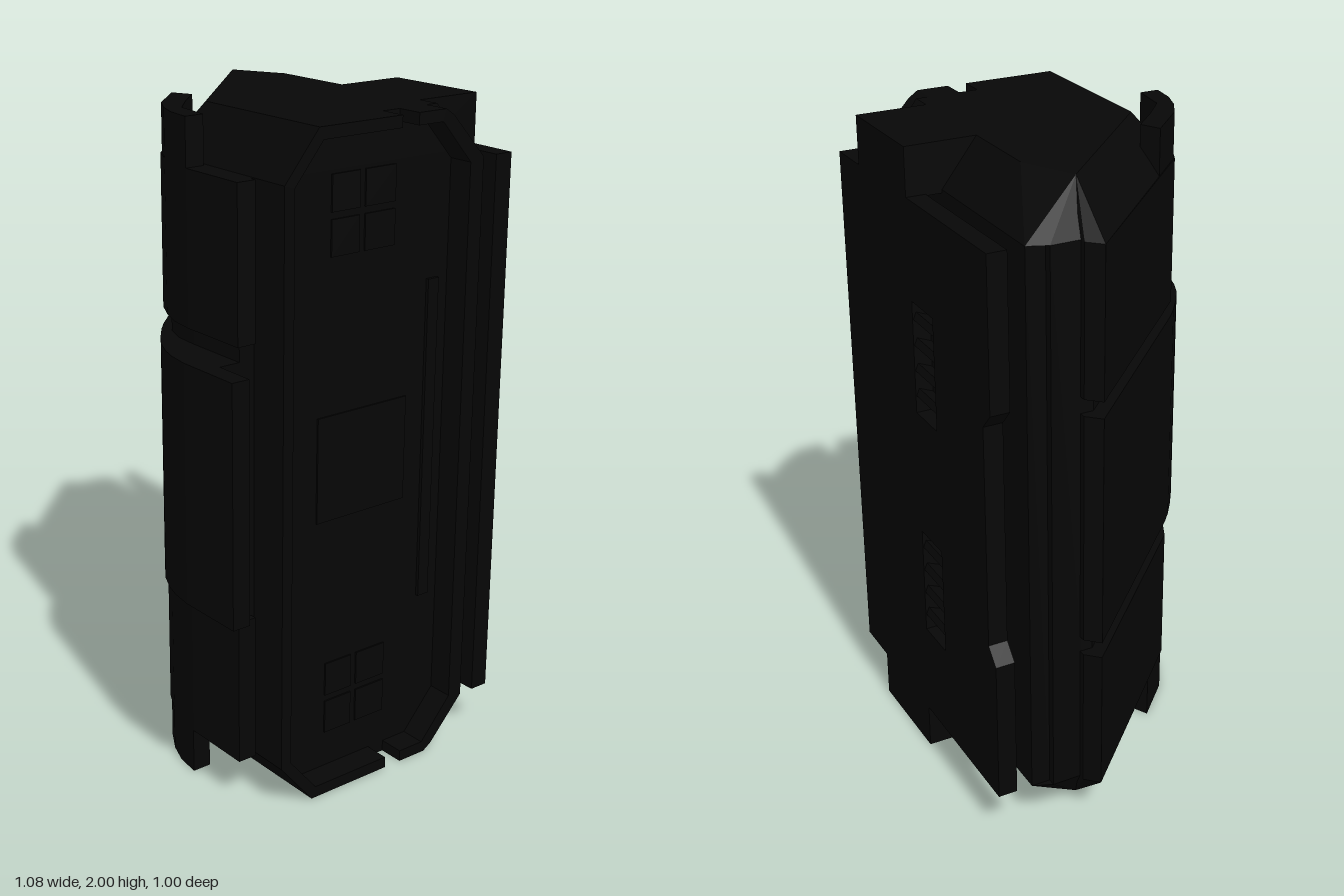
import * as THREE from 'three';
import { ConvexGeometry } from 'three/addons/geometries/ConvexGeometry.js';

const black = new THREE.MeshStandardMaterial({ color: 0x070707 });
black.name = 'matte black';

export function createModel() {
  const model = new THREE.Group();

  const add = (name, geometry) => {
    const mesh = new THREE.Mesh(geometry, black);
    mesh.name = name;
    model.add(mesh);
    return mesh;
  };
  const points = (pts) => pts.map(([a, b]) => new THREE.Vector2(a, b));
  const extrude = (pts, depth, holes = []) => {
    const shape = new THREE.Shape(points(pts));
    shape.holes = holes.map((hole) => new THREE.Path(points(hole)));
    return new THREE.ExtrudeGeometry(shape, { depth, bevelEnabled: false });
  };
  // plan outline [x, z] raised from y0 to y1
  const prism = (name, plan, y0, y1) => add(name,
    extrude(plan.map(([x, z]) => [x, -z]), y1 - y0).rotateX(-Math.PI / 2).translate(0, y0, 0));
  // side outline [z, y] swept from x0 to x1
  const sweep = (name, side, x0, x1) => add(name,
    extrude(side.map(([z, y]) => [-z, y]), x1 - x0).rotateY(Math.PI / 2).translate(x0, 0, 0));
  const box = (name, x0, x1, y0, y1, z0, z1) => {
    const mesh = add(name, new THREE.BoxGeometry(x1 - x0, y1 - y0, z1 - z0));
    mesh.position.set((x0 + x1) / 2, (y0 + y1) / 2, (z0 + z1) / 2);
    return mesh;
  };
  // run a builder for the upper and lower ends; the range is mirrored about mid height
  const bothEnds = (y0, y1, build) => { build(y0, y1); build(2 - y1, 2 - y0); };
  // tapered solid between a wide plan and a narrow plan, at both ends
  const taper = (name, outer, inner) => {
    for (const [yOut, yIn] of [[1.86, 2], [0.14, 0]]) {
      add(name, new ConvexGeometry([
        ...outer.map(([x, z]) => new THREE.Vector3(x, yOut, z)),
        ...inner.map(([x, z]) => new THREE.Vector3(x, yIn, z))]));
    }
  };

  // main housing, inset behind the diagonal cover
  prism('housing', [[-0.455, -0.39], [0.46, -0.39], [0.46, 0.325], [0.04, 0.325],
    [-0.48, -0.2], [-0.48, -0.33], [-0.455, -0.33]], 0.14, 1.86);

  // tapered end caps
  taper('endCap',
    [[-0.455, -0.39], [0.46, -0.39], [0.46, 0.325], [-0.02, 0.32], [-0.48, -0.14], [-0.48, -0.33]],
    [[-0.22, -0.28], [0.46, -0.28], [0.46, 0.21], [0.04, 0.21], [-0.1, 0.07], [-0.38, -0.2]]);
  taper('diagonalCap',
    [[-0.54, -0.2], [-0.5, -0.24], [-0.4, -0.24], [0.04, 0.2], [-0.02, 0.32]],
    [[-0.38, -0.2], [-0.35, -0.21], [-0.1, 0.07]]);

  // raised lip around the recessed side, open at both ends of the groove
  const lip = (name, half) => sweep(name,
    [...half, ...half.slice().reverse().map(([z, y]) => [z, 2 - y])], 0.46, 0.54);
  const frontLip = [[-0.08, 0], [0.21, 0], [0.325, 0.14]];
  const frontLipInner = [[-0.08, 0.035], [0.195, 0.035], [0.29, 0.15]];
  const rearLip = [[-0.14, 0], [-0.24, 0], [-0.27, 0.02], [-0.39, 0.15]];
  const rearLipInner = [[-0.14, 0.035], [-0.23, 0.035], [-0.34, 0.16]];
  const mirrored = (pts) => pts.map(([z, y]) => [z, 2 - y]);
  for (const [name, outer, inner] of [['frontSideLip', frontLip, frontLipInner],
    ['rearSideLip', rearLip, rearLipInner]]) {
    sweep(name, [...outer, ...mirrored(outer).reverse(), ...mirrored(inner),
      ...inner.slice().reverse()], 0.46, 0.54);
  }

  // thin panels on the recessed side
  box('sideLabel', 0.455, 0.465, 0.84, 1.16, -0.19, 0.14);
  bothEnds(1.62, 1.85, (y0, y1) => {
    const mid = (y0 + y1) / 2;
    for (const [a, b] of [[y0, mid - 0.01], [mid + 0.01, y1]]) {
      box('sideTile', 0.455, 0.465, a, b, 0, 0.1);
      box('sideTile', 0.455, 0.465, a, b, -0.13, -0.02);
    }
  });
  box('sideStrip', 0.455, 0.47, 0.5, 1.5, -0.3, -0.26);

  // curved front: shared tail outline along the diagonal
  const tail = [[-0.48, -0.2], [-0.48, -0.24], [-0.5, -0.24], [-0.54, -0.2], [-0.02, 0.325]];
  prism('frontBacking', [[-0.05, 0.23], [0.05, 0.345], [0.12, 0.37], [0.2, 0.375], [0.41, 0.375],
    [0.41, 0.32], [0.04, 0.32]], 0.14, 1.86);
  bothEnds(1.41, 1.86, (y0, y1) => prism('frontCover', [...tail, [0.05, 0.36], [0.12, 0.385],
    [0.2, 0.395], [0.43, 0.395], [0.43, 0.335], [0.05, 0.335]], y0, y1));
  prism('centerCover', [...tail, [0.02, 0.36], [0.08, 0.405], [0.14, 0.445], [0.2, 0.472],
    [0.25, 0.487], [0.32, 0.497], [0.54, 0.497], [0.54, 0.44], [0.41, 0.44], [0.41, 0.325],
    [0.04, 0.325]], 0.64, 1.36);
  // curved lugs at both ends of the front
  bothEnds(1.86, 2, (y0, y1) => prism('frontLug', [[-0.14, 0.2], [-0.02, 0.32], [0.05, 0.36],
    [0.12, 0.385], [0.2, 0.395], [0.2, 0.335], [0.08, 0.32], [0, 0.25], [-0.08, 0.17]], y0, y1));

  // back plate with a notched edge and vent openings, held off the housing by a web
  const vents = [[0.45, 0.8], [1.2, 1.55]];
  const plate = [[-0.455, 0.14], [0.54, 0.15], [0.54, 1.85], [-0.455, 1.86],
    [-0.455, 1.4], [-0.41, 1.35], [-0.41, 0.65], [-0.455, 0.6]];
  add('backPlate', extrude(plate, 0.06, vents.map(([a, b]) =>
    [[-0.1, a], [-0.1, b], [0.04, b], [0.04, a]])).translate(0, 0, -0.5));
  box('backWeb', -0.3, 0.46, 0.23, 1.77, -0.445, -0.385);
  bothEnds(1.85, 2, (y0, y1) => box('backBlock', 0.05, 0.39, y0, y1, -0.5, -0.27));

  // slanted louvres inside the vents
  for (const [start] of vents) {
    for (let i = 0; i < 4; i++) {
      const y = start + 0.055 + i * 0.08;
      box('ventLouvre', -0.1, 0.04, y - 0.012, y + 0.012, -0.495, -0.445).rotation.x = 0.4;
    }
  }
  return model;
}
